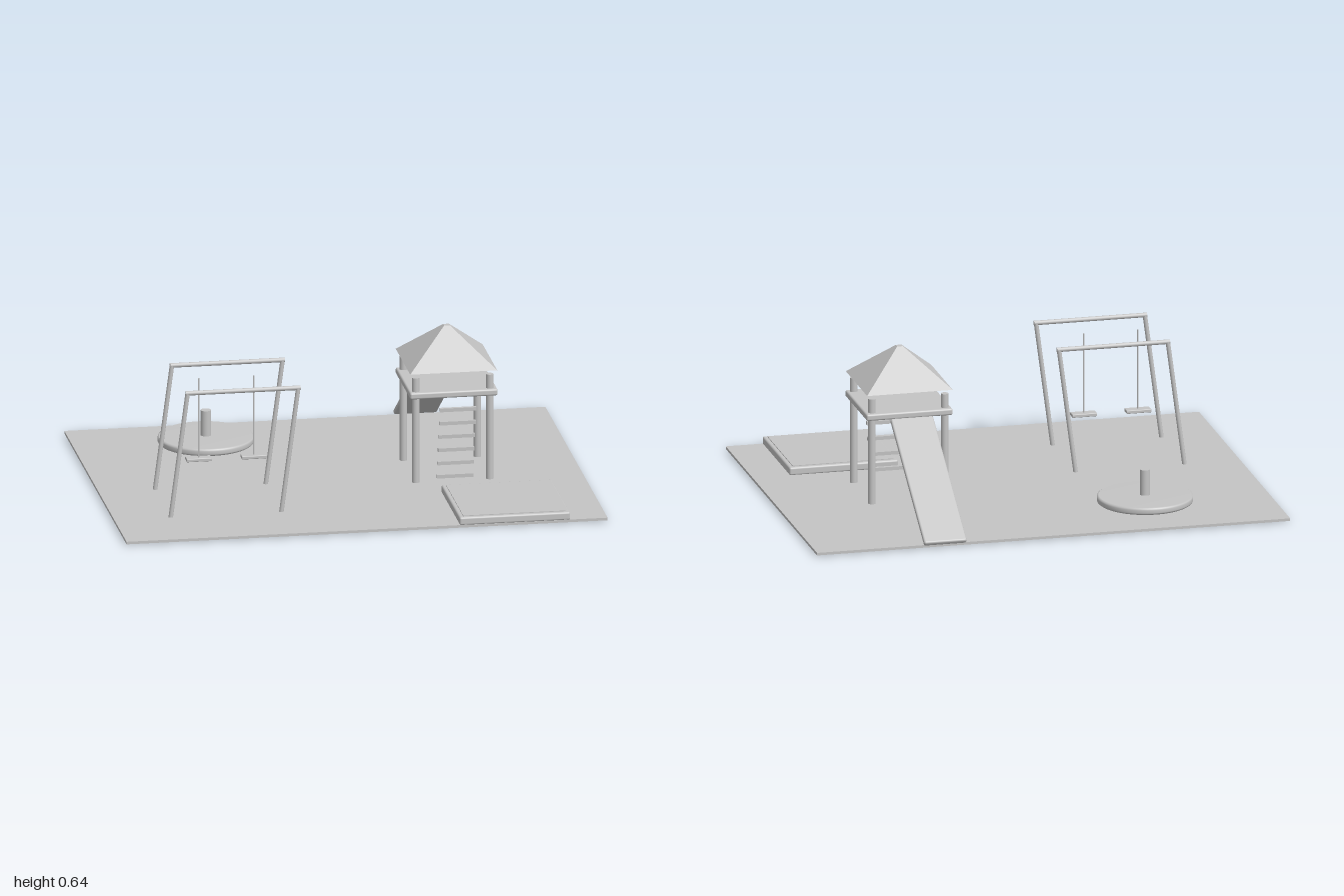
import * as THREE from 'three';
import { RoundedBoxGeometry } from 'three/addons/geometries/RoundedBoxGeometry.js';

export function createModel() {
  const root = new THREE.Group();
  root.name = 'playground';
  const grey = new THREE.MeshStandardMaterial({ color: 0xc4c4c4 });
  grey.name = 'plain grey';

  const add = (name, geometry, x, y, z, parent = root) => {
    const mesh = new THREE.Mesh(geometry, grey);
    mesh.name = name;
    mesh.position.set(x, y, z);
    parent.add(mesh);
    return mesh;
  };
  const group = (name) => {
    const g = new THREE.Group();
    g.name = name;
    root.add(g);
    return g;
  };
  const box = (w, h, d) => new THREE.BoxGeometry(w, h, d);
  const rounded = (w, h, d, r) => new RoundedBoxGeometry(w, h, d, 3, r);
  // Round bar between two points
  const bar = (name, a, b, r, parent, sides = 16) => {
    const from = new THREE.Vector3(...a), to = new THREE.Vector3(...b);
    const dir = to.clone().sub(from);
    const mid = from.clone().add(to).multiplyScalar(0.5);
    const mesh = add(name, new THREE.CylinderGeometry(r, r, dir.length(), sides), mid.x, mid.y, mid.z, parent);
    mesh.quaternion.setFromUnitVectors(new THREE.Vector3(0, 1, 0), dir.normalize());
    return mesh;
  };

  // Ground slab
  add('ground', box(2, 0.011, 1.542), 0, 0.0085, 0.01);

  // Swing set: two leaning frames with a row of seats between them
  const swings = group('swingSet');
  for (const z of [0.088, 0.476]) {
    bar('frameLeg', [-0.767, 0, z], [-0.695, 0.542, z], 0.0095, swings);
    bar('frameLeg', [-0.307, 0, z], [-0.235, 0.542, z], 0.0095, swings);
    bar('topBar', [-0.703, 0.542, z], [-0.226, 0.542, z], 0.0095, swings);
  }
  for (const x of [-0.617, -0.388]) {
    add('swingSeat', rounded(0.105, 0.014, 0.043, 0.003), x, 0.197, 0.282, swings);
    bar('swingRope', [x, 0.2, 0.282], [x, 0.543, 0.282], 0.003, swings, 8);
  }

  // Roundabout: disc with softened rims and a centre post
  const roundabout = group('roundabout');
  const rim = [[0, 0.034], [0.19, 0.034], [0.196, 0.038], [0.198, 0.043], [0.198, 0.055],
    [0.196, 0.061], [0.19, 0.065], [0, 0.065]];
  add('disc', new THREE.LatheGeometry(rim.map(([r, y]) => new THREE.Vector2(r, y)), 64),
    -0.464, 0, -0.45, roundabout);
  bar('centrePost', [-0.464, 0.05, -0.45], [-0.464, 0.173, -0.45], 0.0215, roundabout, 32);

  // Tower: four posts, deck and pyramid roof
  const tower = group('tower');
  for (const x of [0.305, 0.613])
    for (const z of [0.167, -0.14])
      bar('post', [x, 0.005, z], [x, 0.463, z], 0.0155, tower, 20);
  add('deck', rounded(0.365, 0.028, 0.368, 0.008), 0.46, 0.39, 0.012, tower);
  const roof = new THREE.CylinderGeometry(0.012 * Math.SQRT2, 0.181 * Math.SQRT2, 0.15, 4)
    .rotateY(Math.PI / 4).toNonIndexed();
  roof.computeVertexNormals();
  add('roof', roof, 0.459, 0.559, 0.012, tower);

  // Climbing rungs stepping outwards as they rise
  const ladder = group('ladder');
  for (let i = 0; i < 6; i++)
    add('rung', box(0.151, 0.015, 0.015), 0.46, 0.048 + i * 0.0618, 0.213 + i * 0.0158, ladder);

  // Sloping slide at the back
  const slide = add('slide', rounded(0.18, 0.022, 0.68, 0.008), 0.46, 0.202, -0.487);
  slide.rotation.x = -Math.atan2(0.365, 0.575);

  // Sandpit with a slightly raised bed
  const sandpit = group('sandpit');
  add('sandpitFrame', rounded(0.46, 0.034, 0.46, 0.008), 0.615, 0.029, 0.552, sandpit);
  add('sandBed', box(0.425, 0.006, 0.425), 0.615, 0.046, 0.552, sandpit);

  return root;
}
